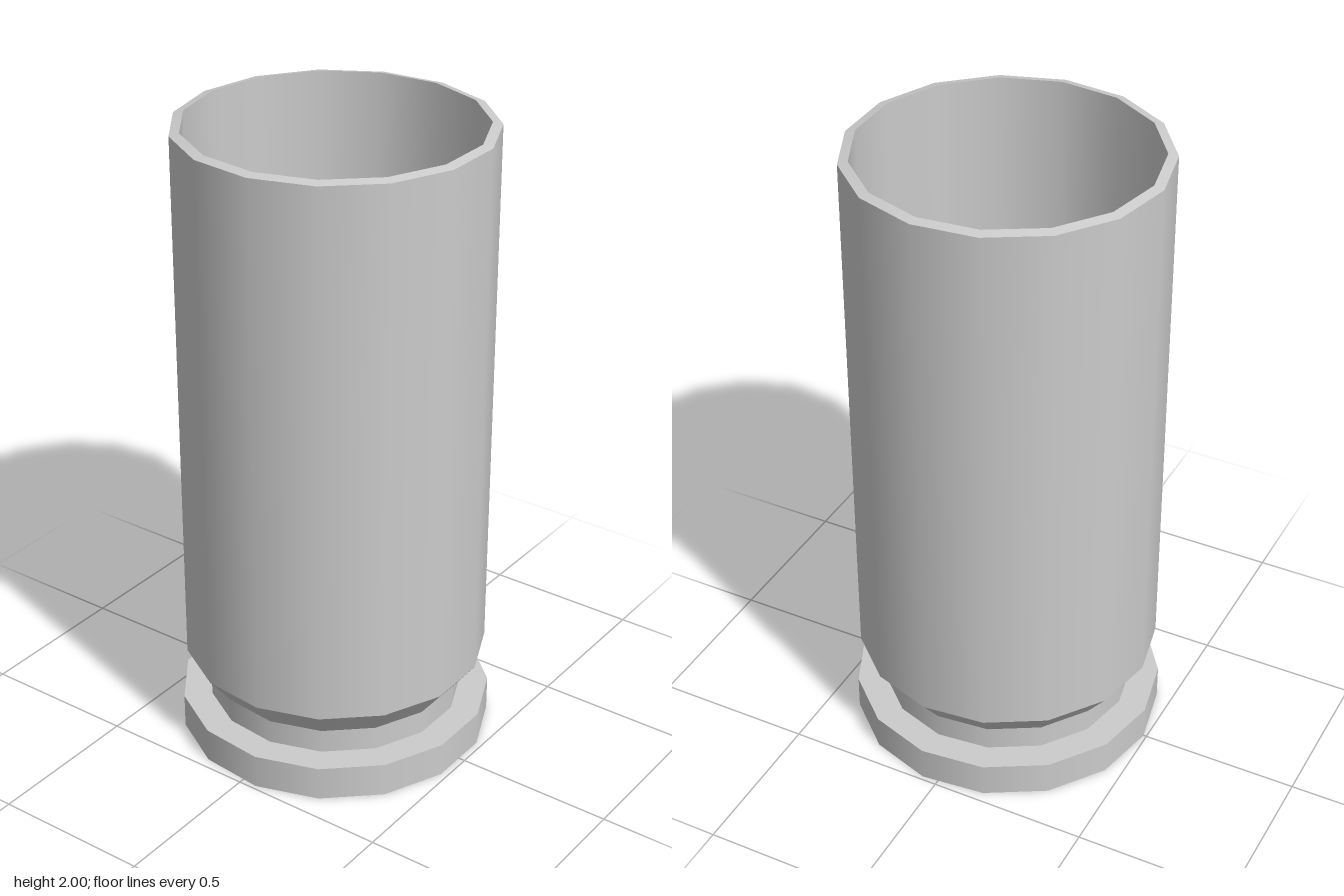
import * as THREE from 'three';
import { mergeGeometries } from 'three/addons/utils/BufferGeometryUtils.js';

const SIDES = 15;
const material = new THREE.MeshStandardMaterial({ color: 0xcccccc });

// Revolves a [radius, height] profile one band at a time:
// smooth around the axis, sharp between bands.
function turned(name, profile) {
  const bands = [];
  for (let i = 0; i + 1 < profile.length; i++) {
    const pair = [profile[i], profile[i + 1]].map(([r, y]) => new THREE.Vector2(r, y));
    bands.push(new THREE.LatheGeometry(pair, SIDES, Math.PI));
  }
  const mesh = new THREE.Mesh(mergeGeometries(bands), material);
  mesh.name = name;
  return mesh;
}

export function createModel() {
  const group = new THREE.Group();
  group.name = 'casing';

  // Flat base disc with its overhanging edge
  group.add(turned('baseRim', [[0, 0], [0.49, 0], [0.49, 0.11], [0.4, 0.11]]));

  // Groove above the base, flaring out to the body
  group.add(turned('grooveAndFlare', [[0.4, 0.11], [0.4, 0.187], [0.475, 0.283]]));

  // Outer wall, slightly sloped lip, inner wall and floor
  group.add(turned('hollowBody', [
    [0.475, 0.283], [0.475, 1.993], [0.445, 2], [0.445, 0.29], [0, 0.29],
  ]));

  return group;
}
